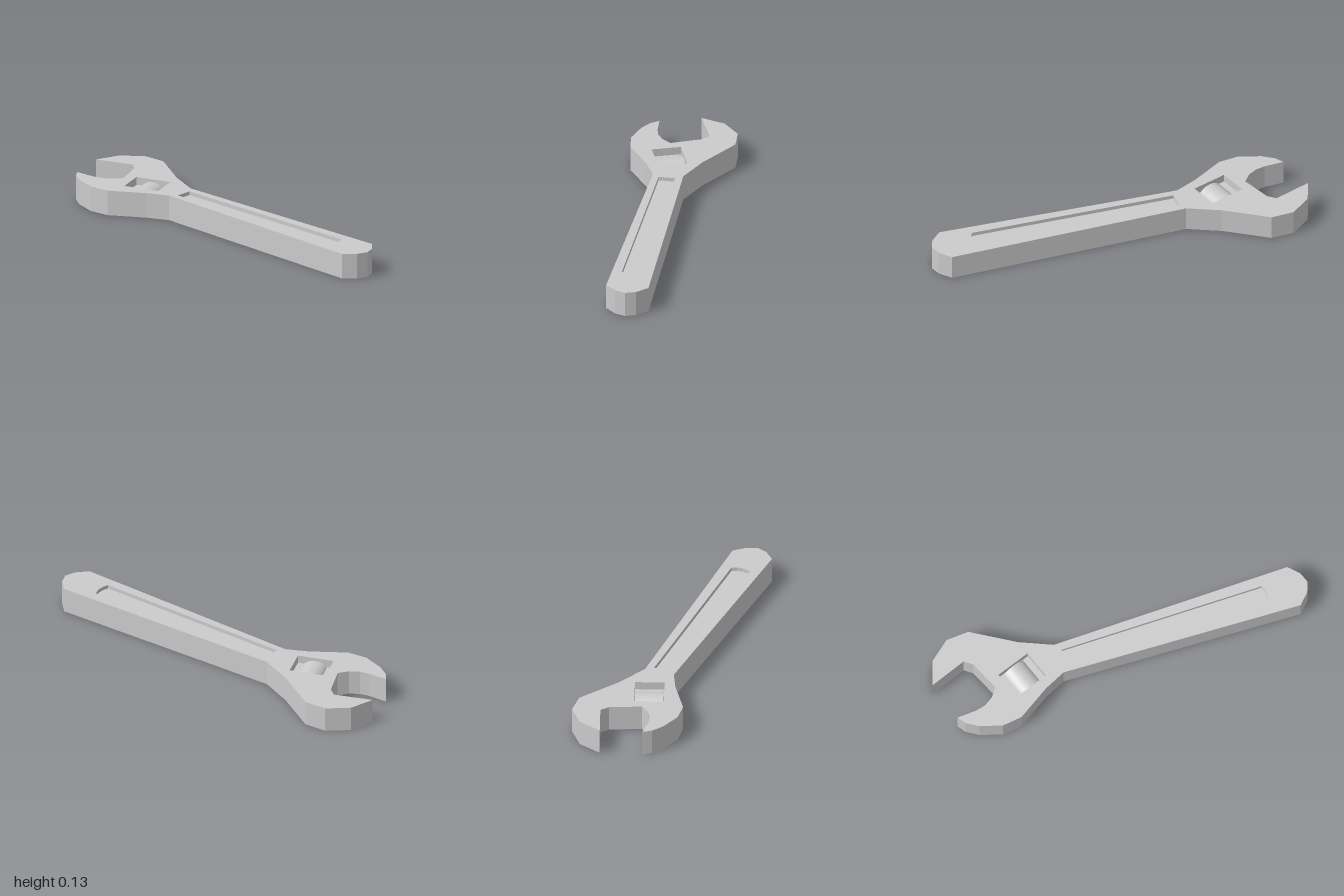
import * as THREE from 'three';

const THICK = 0.133;
const material = new THREE.MeshStandardMaterial({ color: 0xcccccc, flatShading: true });
const smooth = new THREE.MeshStandardMaterial({ color: 0xcccccc });

// Plan points are [x, z]; shapes use y = -z so the extrusion can be laid flat
const toVectors = (plan) => plan.map(([x, z]) => new THREE.Vector2(x, -z));

// Flat plate from a plan outline, between two heights
function plate(name, plan, y0, y1, holes = []) {
  const shape = new THREE.Shape(toVectors(plan));
  for (const hole of holes) shape.holes.push(new THREE.Path(toVectors(hole)));
  const geometry = new THREE.ExtrudeGeometry(shape, { depth: y1 - y0, bevelEnabled: false });
  geometry.rotateX(-Math.PI / 2).translate(0, y0, 0);
  const mesh = new THREE.Mesh(geometry, material);
  mesh.name = name;
  return mesh;
}

export function createModel() {
  const group = new THREE.Group();
  group.name = 'wrench';

  const outline = [
    // rounded handle end
    [-0.122, 0.926], [-0.067, 0.98], [-0.012, 1.0], [0.042, 0.98], [0.097, 0.926],
    // neck and wide jaw
    [0.066, -0.34], [0.137, -0.51], [0.27, -0.735], [0.262, -0.855], [0.177, -0.957], [0.05, -1.0],
    // jaw opening
    [0.124, -0.808], [0.093, -0.766], [-0.06, -0.697], [-0.108, -0.733], [-0.138, -0.78],
    [-0.15, -0.83], [-0.157, -0.932],
    // narrow jaw and neck
    [-0.198, -0.902], [-0.236, -0.84], [-0.27, -0.725], [-0.256, -0.62], [-0.145, -0.45], [-0.092, -0.34],
  ];

  // Long recess in the handle
  const groove = [
    [-0.058, -0.312], [-0.067, 0.768], [-0.04, 0.778], [-0.012, 0.781], [0.012, 0.778], [0.038, 0.768], [0.028, -0.312],
  ];

  // Tilted window for the adjusting roller
  const tilt = THREE.MathUtils.degToRad(20);
  const cx = -0.04, cz = -0.546;
  const windowPlan = [[-1, -1], [1, -1], [1, 1], [-1, 1]].map(([i, j]) => {
    const u = i * 0.076, v = j * 0.095;
    return [cx + u * Math.cos(tilt) + v * Math.sin(tilt), cz - u * Math.sin(tilt) + v * Math.cos(tilt)];
  });

  group.add(plate('body', outline, 0, THICK, [groove, windowPlan]));
  group.add(plate('handleRecess', groove, 0.02, THICK - 0.02));
  group.add(plate('windowFloor', windowPlan, 0.042, THICK - 0.042));

  // Roller lying across the window, slightly flattened
  const rollerGeometry = new THREE.CylinderGeometry(1, 1, 0.144, 32);
  rollerGeometry.rotateZ(Math.PI / 2).scale(1, 0.053, 0.07);
  const roller = new THREE.Mesh(rollerGeometry, smooth);
  roller.name = 'adjustingRoller';
  roller.position.set(cx, THICK / 2, cz);
  roller.rotation.y = tilt;
  group.add(roller);

  return group;
}
